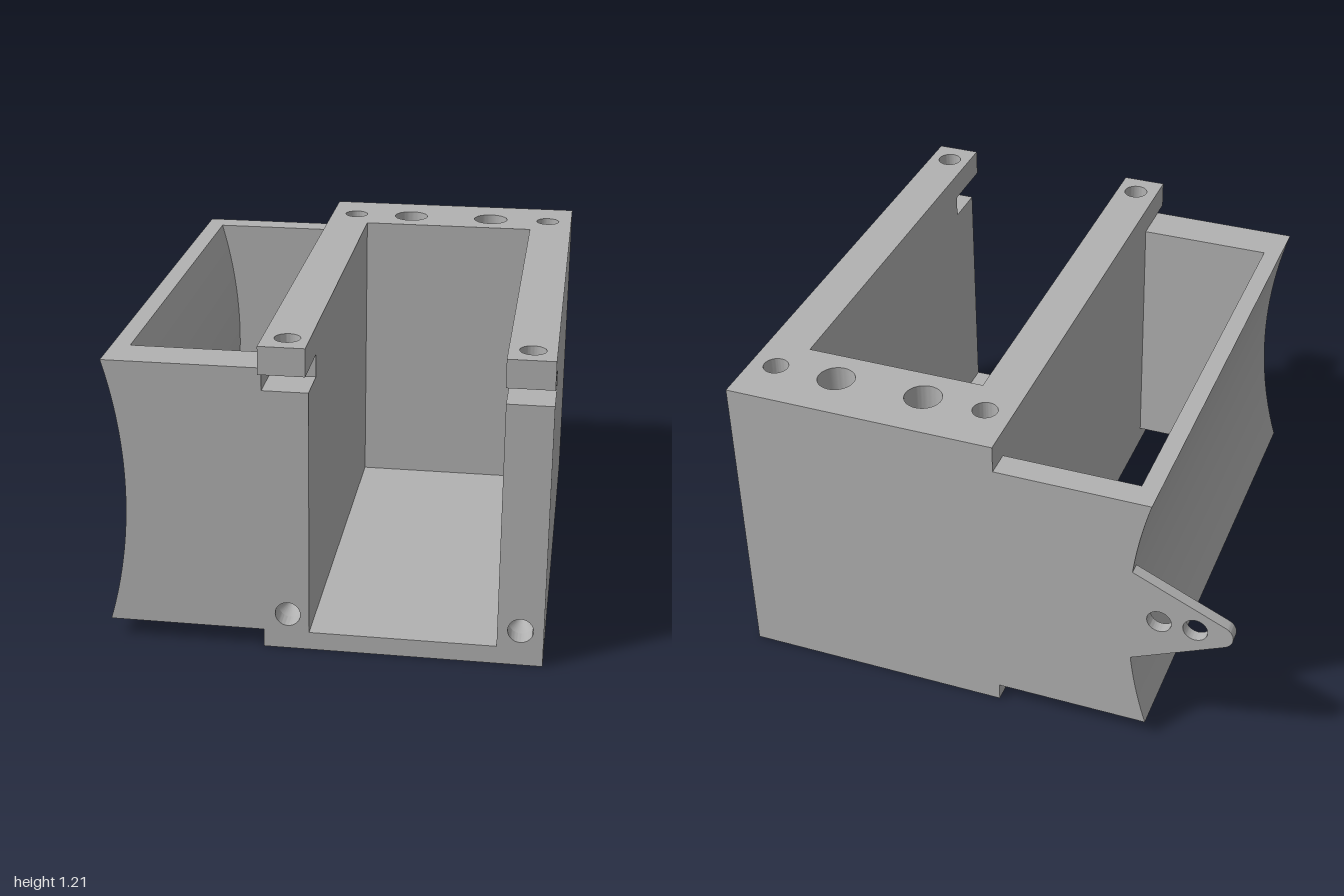
import * as THREE from 'three';
import { toCreasedNormals } from 'three/addons/utils/BufferGeometryUtils.js';

const grey = new THREE.MeshStandardMaterial({ color: 0xb2b2b2 });
grey.name = 'plain grey';

// Main body and side bay limits
const X0 = -0.07, X1 = 0.965, IN0 = 0.1, IN1 = 0.795;
const TOP = 1.21, FLOOR = 0.07, SHELF = 1.105, SLOT = 1.02;
const BACK = -1, CAVITY = -0.66, SLOT_Z = 0.76, FRONT = 0.93, LIP = 1;
const SCREW = 0.047, ROUND = 0.07;

// Centre and radius of the concave outer side
const CX = -2.403, CY = 0.5875, R = 1.823, WALL = 0.066, HALF = (SHELF - FLOOR) / 2;

function rect(x0, x1, y0, y1, holes = []) {
  const s = new THREE.Shape();
  s.moveTo(x0, y0).lineTo(x1, y0).lineTo(x1, y1).lineTo(x0, y1).closePath();
  return drill(s, holes);
}

function drill(shape, holes) {
  for (const [x, y, r] of holes) shape.holes.push(new THREE.Path().absarc(x, y, r, 0, Math.PI * 2, true));
  return shape;
}

// Extrusion along z
function slabZ(shape, z0, z1) {
  const g = new THREE.ExtrudeGeometry(shape, { depth: z1 - z0, bevelEnabled: false, curveSegments: 32 });
  return toCreasedNormals(g.translate(0, 0, z0), 0.5);
}

// Extrusion along y; the shape is drawn in (x, -z)
function slabY(shape, y0, y1) {
  const g = new THREE.ExtrudeGeometry(shape, { depth: y1 - y0, bevelEnabled: false, curveSegments: 32 });
  return toCreasedNormals(g.rotateX(-Math.PI / 2).translate(0, y0, 0), 0.5);
}

export function createModel() {
  const model = new THREE.Group();
  model.name = 'holder';

  const add = (name, geometry) => {
    const mesh = new THREE.Mesh(geometry, grey);
    mesh.name = name;
    model.add(mesh);
  };
  const box = (name, x0, x1, y0, y1, z0, z1) => {
    const g = new THREE.BoxGeometry(x1 - x0, y1 - y0, z1 - z0);
    add(name, g.translate((x0 + x1) / 2, (y0 + y1) / 2, (z0 + z1) / 2));
  };

  // Cavity floor and solid back, with round pockets in its top
  box('cavityFloor', IN0, IN1, 0, FLOOR, CAVITY, FRONT);
  const pocketBase = 0.8;
  box('backBlock', X0, X1, 0, pocketBase, BACK, CAVITY);
  const screws = [0.035, 0.865];
  const pockets = [...screws.map(x => [x, 0.8, SCREW]), [0.275, 0.8, ROUND], [0.62, 0.8, ROUND]];
  add('backBlockTop', slabY(rect(X0, X1, -CAVITY, -BACK, pockets), pocketBase, TOP));
  for (const x of screws) {
    add('screwHoleBottom', new THREE.CircleGeometry(SCREW, 32).rotateX(-Math.PI / 2).translate(x, 0.95, -0.8));
  }

  // Two side walls, each with a slotted front end and a drilled overhanging lip
  for (const [x0, x1, hx] of [[X0, IN0, 0.02], [IN1, X1, 0.88]]) {
    box('sideWall', x0, x1, 0, TOP, CAVITY, SLOT_Z);
    add('frontPost', slabZ(rect(x0, x1, 0, SLOT, [[hx, 0.14, SCREW]]), SLOT_Z, FRONT));
    add('lip', slabY(rect(x0, x1, -LIP, -SLOT_Z, [[hx, -0.895, SCREW]]), SHELF, TOP));
    const cone = new THREE.LatheGeometry([new THREE.Vector2(SCREW, 0.07), new THREE.Vector2(0, 0)], 32);
    add('drillPoint', cone.rotateX(Math.PI / 2).translate(hx, 0.14, 0.79));
  }

  // Side bay: two end walls joined by a bowed outer wall, open above and below
  const a = Math.asin(HALF / R), b = Math.asin(HALF / (R + WALL));
  const end = new THREE.Shape();
  end.moveTo(X0, FLOOR).lineTo(X0, SHELF).absarc(CX, CY, R, a, -a, true).closePath();
  add('bayFrontWall', slabZ(end, SLOT_Z, FRONT));
  add('bayBackWall', slabZ(end, BACK, -0.9));
  const bow = new THREE.Shape();
  bow.absarc(CX, CY, R, -a, a, false).absarc(CX, CY, R + WALL, b, -b, true).closePath();
  add('bowedWall', slabZ(bow, -0.9, SLOT_Z));

  // Rounded triangular mounting tab with two holes
  const t = Math.asin(0.205 / R), tip = 0.05, lean = 2.0;
  const tab = new THREE.Shape();
  tab.absarc(CX, CY, R, -t, t, false)
    .absarc(-0.92, CY, tip, lean, Math.PI * 2 - lean, false)
    .closePath();
  drill(tab, [[-0.83, CY + 0.003, 0.046], [-0.695, CY + 0.003, 0.046]]);
  add('mountingTab', slabZ(tab, BACK, -0.955));

  return model;
}
